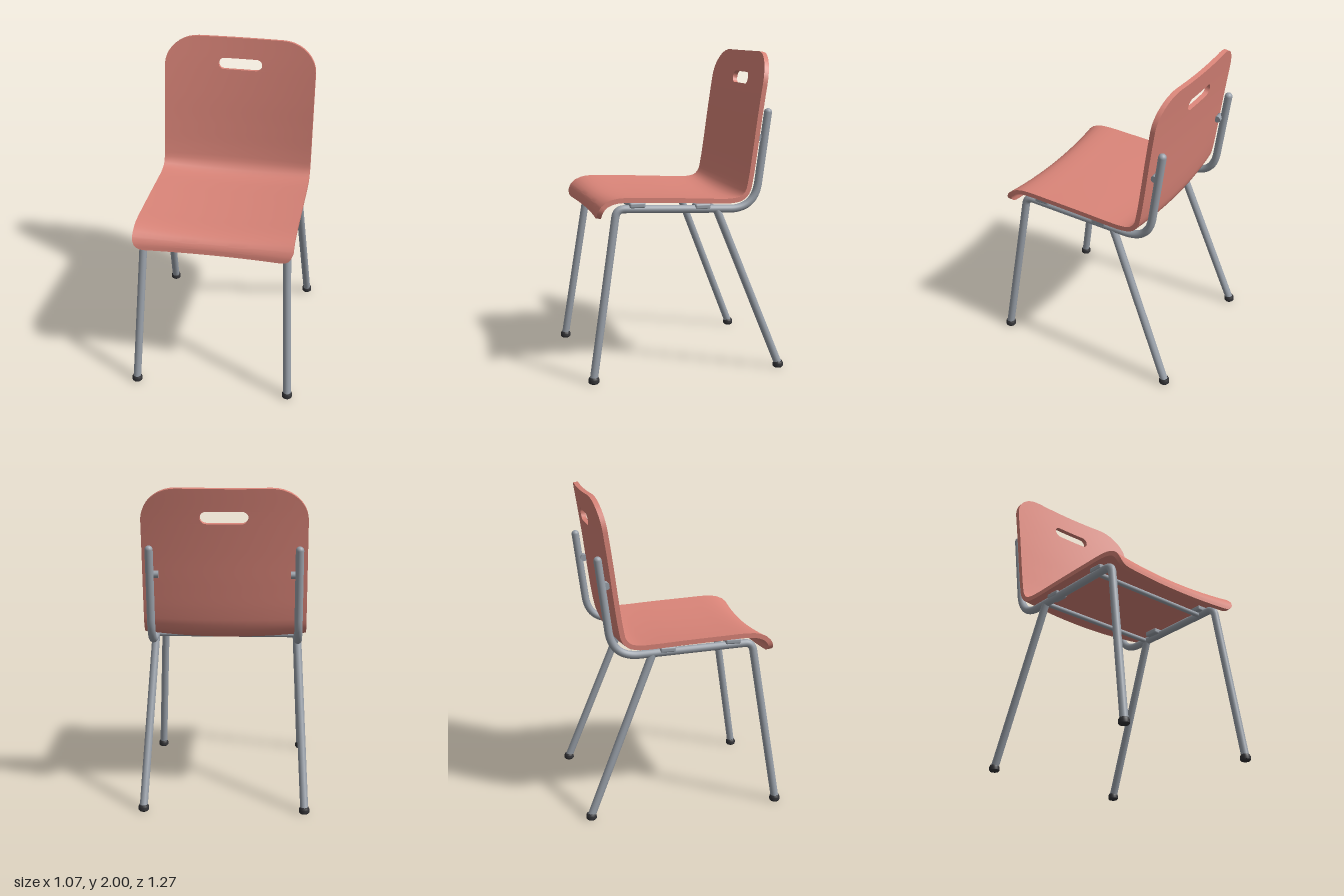
import * as THREE from 'three';
import { toCreasedNormals } from 'three/addons/utils/BufferGeometryUtils.js';
import { RoundedBoxGeometry } from 'three/addons/geometries/RoundedBoxGeometry.js';

const V = (x, y, z) => new THREE.Vector3(x, y, z);
const mat = (name, color) => Object.assign(new THREE.MeshStandardMaterial({ color }), { name });

// One-piece seat and back: a dished sheet swept along a side profile, with a hand slot
function shellGeometry() {
  const profile = new THREE.CatmullRomCurve3([
    [0.545, 1.01], [0.537, 1.05], [0.512, 1.085], [0.465, 1.106], [0.4, 1.112], [0.25, 1.106],
    [0, 1.093], [-0.2, 1.081], [-0.28, 1.08], [-0.35, 1.095], [-0.393, 1.14], [-0.413, 1.22],
    [-0.44, 1.4], [-0.467, 1.6], [-0.5, 1.82], [-0.53, 2],
  ].map(([z, y]) => V(0, y, z)));
  profile.arcLengthDivisions = 800;
  const L = profile.getLength();
  const W = 0.5, THICK = 0.03, DISH = 0.03;
  const front = { x: 0.08, s: 0.07 }, top = { x: 0.22, s: 0.2 };
  const slot = { s: L - 0.175, r: 0.038, flat: 0.107 };

  // half width of the sheet at arc length s, with rounded corners at both ends
  const corner = (c, d) => (d >= c.s ? 0 : c.x * (1 - Math.sqrt(Math.max(0, 1 - ((c.s - d) / c.s) ** 2))));
  const halfWidth = (s) => W - corner(front, s) - corner(top, L - s);
  const slotHalf = (s) => slot.flat + Math.sqrt(Math.max(0, slot.r ** 2 - (s - slot.s) ** 2));

  // row positions, packed closer at the corners and the slot
  let rows = [];
  for (let i = 0; i <= 60; i++) rows.push((L * i) / 60);
  for (let i = 0; i <= 10; i++) {
    const c = 1 - Math.cos((i / 10) * Math.PI / 2);
    rows.push(front.s * c, L - top.s * c, slot.s - slot.r * Math.cos((i / 10) * Math.PI));
  }
  rows = rows.sort((a, b) => a - b).filter((s, i, a) => i === 0 || s - a[i - 1] > 1e-6);

  // columns: left side, middle (cut away at the slot), right side
  const SIDE = 10, MID = 8, COLS = 2 * SIDE + MID;
  const across = (j, w, h) => {
    if (j < SIDE) return -w + ((w - h) * j) / SIDE;
    if (j > SIDE + MID) return h + ((w - h) * (j - SIDE - MID)) / SIDE;
    return -h + (2 * h * (j - SIDE)) / MID;
  };
  const pos = [], index = [], n = COLS + 1, under = rows.length * n;
  for (const depth of [0, THICK]) {
    for (const s of rows) {
      const p = profile.getPointAt(s / L), t = profile.getTangentAt(s / L);
      for (let j = 0; j <= COLS; j++) {
        const x = across(j, halfWidth(s), slotHalf(s));
        const lift = DISH * (x / W) ** 2 - depth;
        pos.push(x, p.y - t.z * lift, p.z + t.y * lift);
      }
    }
  }
  const edges = new Map();
  for (let i = 0; i < rows.length - 1; i++) {
    const inSlot = Math.abs((rows[i] + rows[i + 1]) / 2 - slot.s) < slot.r;
    for (let j = 0; j < COLS; j++) {
      if (inSlot && j >= SIDE && j < SIDE + MID) continue;
      const q = [i * n + j, i * n + j + 1, (i + 1) * n + j + 1, (i + 1) * n + j];
      const [a, b, c, d] = q, [e, f, g, h] = q.map((k) => k + under);
      index.push(a, b, c, a, c, d, e, g, f, e, h, g);
      q.forEach((k, m) => edges.set(`${k},${q[(m + 1) % 4]}`, [k, q[(m + 1) % 4]]));
    }
  }
  // rim walls along every open edge, outside and around the slot
  for (const [a, b] of edges.values()) {
    if (!edges.has(`${b},${a}`)) index.push(b, a, a + under, b, a + under, b + under);
  }
  const g = new THREE.BufferGeometry();
  g.setAttribute('position', new THREE.Float32BufferAttribute(pos, 3));
  g.setIndex(index);
  return toCreasedNormals(g, 0.7);
}

// Straight runs joined by bends; each inner point has its own bend length
function bentPath(points, bends) {
  const path = new THREE.CurvePath();
  let from = points[0];
  for (let i = 1; i < points.length - 1; i++) {
    const p = points[i], r = bends[i - 1];
    const a = p.clone().add(points[i - 1].clone().sub(p).setLength(r));
    const b = p.clone().add(points[i + 1].clone().sub(p).setLength(r));
    path.add(new THREE.LineCurve3(from, a));
    path.add(new THREE.QuadraticBezierCurve3(a, p, b));
    from = b;
  }
  path.add(new THREE.LineCurve3(from, points[points.length - 1]));
  return path;
}

export function createModel() {
  const group = new THREE.Group();
  const coral = mat('coral shell', 0xd98478);
  const steel = mat('grey steel', 0x9aa1aa);
  const rubber = mat('black rubber', 0x333336);
  const R = 0.025;

  const add = (name, geometry, material, at) => {
    const m = new THREE.Mesh(geometry, material);
    m.name = name;
    if (at) m.position.copy(at);
    group.add(m);
    return m;
  };
  const rod = (name, a, b, r) => {
    const m = add(name, new THREE.CylinderGeometry(r, r, a.distanceTo(b), 16), steel, a.clone().lerp(b, 0.5));
    m.quaternion.setFromUnitVectors(V(0, 1, 0), b.clone().sub(a).normalize());
  };

  add('seatShell', shellGeometry(), coral);

  const footProfile = [[0, 0], [0.026, 0], [0.033, 0.008], [0.033, 0.028], [0.027, 0.04], [0, 0.04]]
    .map(([x, y]) => new THREE.Vector2(x, y));
  const footGeometry = toCreasedNormals(new THREE.LatheGeometry(footProfile, 20), 0.5);

  for (const side of [1, -1]) {
    const label = side > 0 ? 'left' : 'right';
    const x = 0.45 * side, footX = 0.5 * side;

    // front leg, seat rail and back upright bent from one tube
    const tip = V(x, 1.632, -0.523);
    const path = bentPath(
      [V(footX, 0.03, 0.603), V(x, 1.068, 0.442), V(x, 1.03, -0.443), tip], [0.05, 0.17]);
    add(`${label}SideTube`, new THREE.TubeGeometry(path, 180, R, 16), steel);
    add(`${label}TubeEnd`, new THREE.SphereGeometry(R, 16, 10), steel, tip);
    rod(`${label}BackLeg`, V(footX, 0.03, -0.597), V(x, 1.035, -0.195), R);

    for (const [name, z] of [['Front', 0.603], ['Back', -0.6]]) {
      add(`${label}${name}Foot`, footGeometry, rubber, V(footX, 0, z));
    }
    // clamps under the seat and a fixing behind the back
    for (const [y, z] of [[1.088, 0.315], [1.062, -0.1]]) {
      add(`${label}SeatClamp`, new RoundedBoxGeometry(0.085, 0.036, 0.1, 3, 0.012), steel, V(0.435 * side, y, z));
    }
    rod(`${label}BackFixing`, V(0.4 * side, 1.475, -0.474), V(0.458 * side, 1.475, -0.474), 0.022);
  }

  // cross bars between the rails
  for (const [y, z] of [[1.058, 0.315], [1.04, -0.195]]) {
    rod('crossBar', V(-0.45, y, z), V(0.45, y, z), 0.016);
  }
  return group;
}
